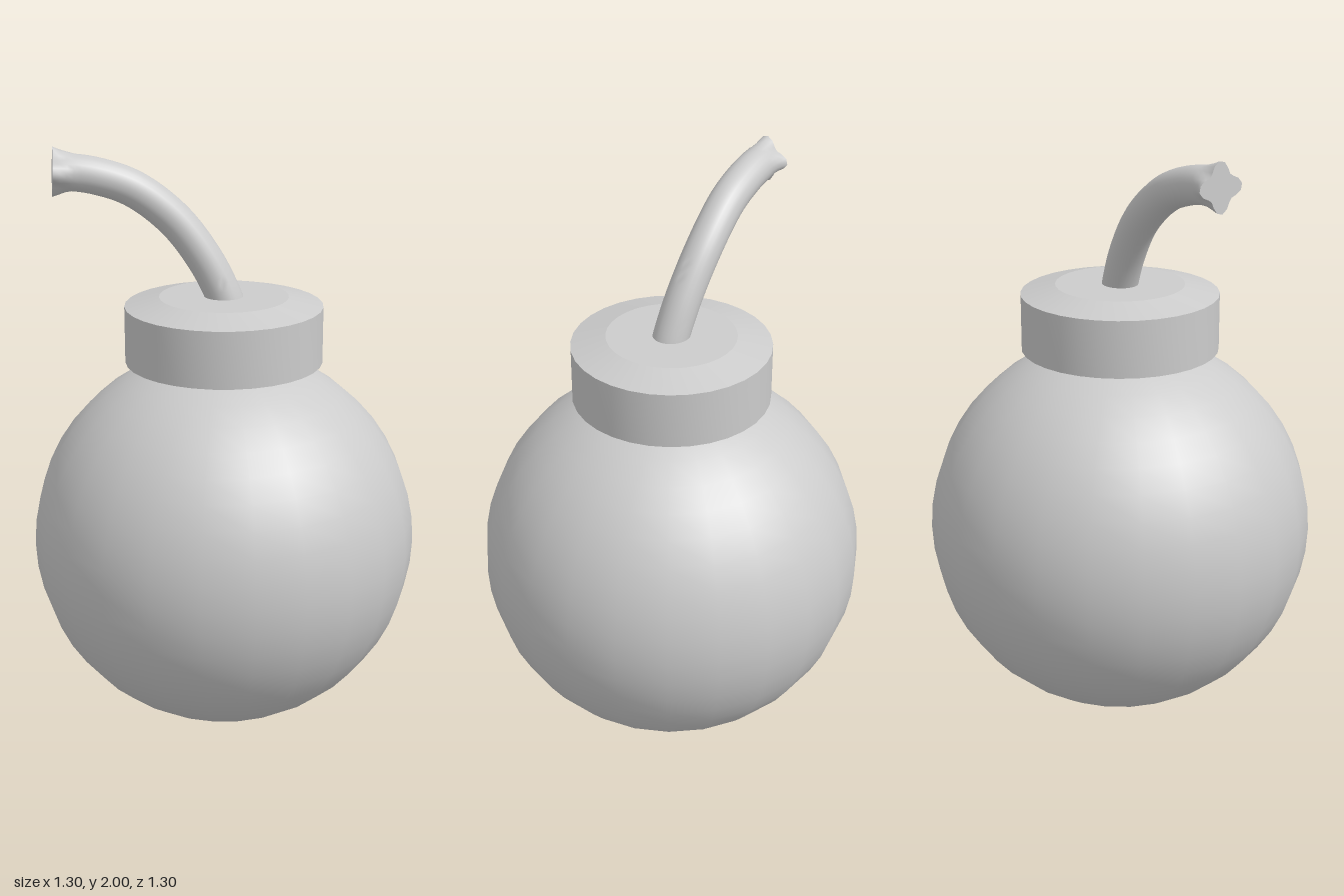
import * as THREE from 'three';
import { toCreasedNormals } from 'three/addons/utils/BufferGeometryUtils.js';

const grey = new THREE.MeshStandardMaterial({ color: 0xcccccc });
const thin = new THREE.MeshStandardMaterial({ color: 0xcccccc, side: THREE.DoubleSide });

function add(group, name, geometry, material = grey) {
  const mesh = new THREE.Mesh(geometry, material);
  mesh.name = name;
  group.add(mesh);
  return mesh;
}

// Bent cord whose last rings flare into a four-lobed frayed tip
function createFuse() {
  const fuse = new THREE.Group();
  fuse.name = 'fuse';
  const curve = new THREE.CatmullRomCurve3([
    [0.02, 1.44, 0], [0, 1.5, 0], [-0.06, 1.62, 0.003], [-0.16, 1.755, 0.015],
    [-0.29, 1.86, 0.045], [-0.41, 1.905, 0.075], [-0.49, 1.918, 0.095], [-0.54, 1.92, 0.107],
  ].map((p) => new THREE.Vector3(...p)));
  const rings = 36, sides = 24, radius = 0.06;
  const tube = new THREE.TubeGeometry(curve, rings, radius, sides);
  const pos = tube.attributes.position;
  const v = new THREE.Vector3(), up = new THREE.Vector3(0, 1, 0);
  for (let i = rings - 3; i <= rings; i++) {
    const centre = curve.getPointAt(i / rings);
    const side = curve.getTangentAt(i / rings).cross(up).normalize();
    const t = ((i - rings + 3) / 3) ** 1.3;
    for (let j = 0; j <= sides; j++) {
      const k = i * (sides + 1) + j;
      v.fromBufferAttribute(pos, k).sub(centre);
      const angle = Math.atan2(v.y, v.dot(side));
      v.multiplyScalar(1 + t * (0.1 + 0.24 * Math.cos(4 * angle))).add(centre);
      pos.setXYZ(k, v.x, v.y, v.z);
    }
  }
  add(fuse, 'fuseCord', toCreasedNormals(tube, 1));

  // Flat face closing the tip
  const end = curve.getPointAt(1), face = [];
  for (let j = 0; j < sides; j++) {
    face.push(end.x, end.y, end.z);
    for (const n of [j, j + 1]) {
      v.fromBufferAttribute(pos, rings * (sides + 1) + n);
      face.push(v.x, v.y, v.z);
    }
  }
  const tip = new THREE.BufferGeometry();
  tip.setAttribute('position', new THREE.Float32BufferAttribute(face, 3));
  tip.computeVertexNormals();
  add(fuse, 'fuseTip', tip, thin);
  return fuse;
}

export function createModel() {
  const model = new THREE.Group();
  model.name = 'bomb';

  // Round body
  add(model, 'body', new THREE.SphereGeometry(0.652, 24, 24)).position.y = 0.654;

  // Collar with chamfered rims
  const profile = [[0, 1.25], [0.23, 1.255], [0.33, 1.28], [0.33, 1.47], [0.215, 1.5], [0, 1.5]]
    .map(([r, y]) => new THREE.Vector2(r, y));
  add(model, 'collar', toCreasedNormals(new THREE.LatheGeometry(profile, 32), 0.23));

  model.add(createFuse());
  return model;
}
